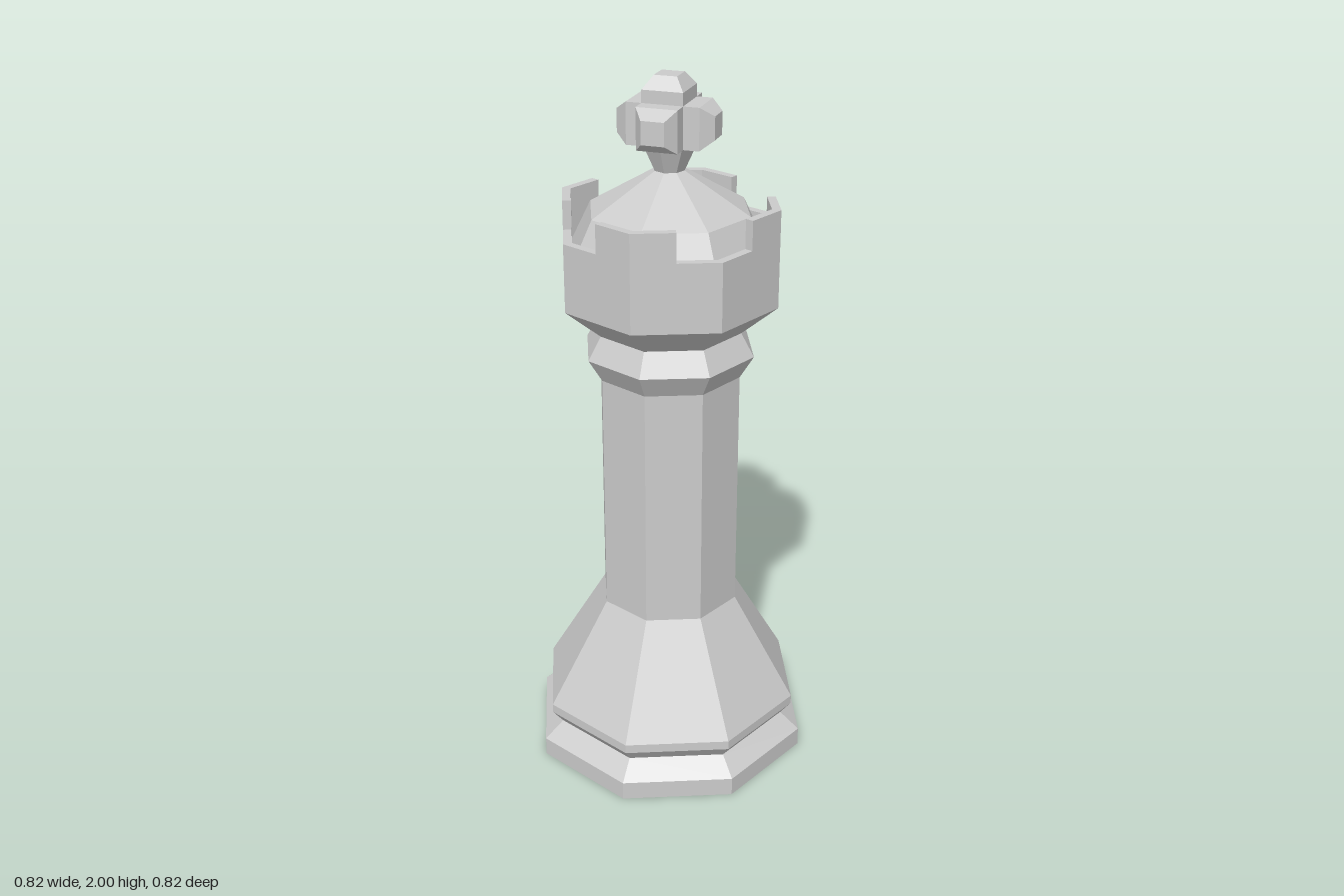
import * as THREE from 'three';

const material = new THREE.MeshStandardMaterial({ color: 0xcccccc, flatShading: true });

function addMesh(parent, name, geometry) {
  const mesh = new THREE.Mesh(geometry, material);
  mesh.name = name;
  parent.add(mesh);
  return mesh;
}

// Eight-sided turned part from [radius, height] pairs, listed from the bottom up
function turned(parent, name, profile) {
  const points = profile.map(([r, y]) => new THREE.Vector2(r, y));
  return addMesh(parent, name, new THREE.LatheGeometry(points, 8));
}

// Square bar along +y with a tapered tip
function crossArm(length) {
  const half = 0.056, tip = 0.031, k = Math.SQRT2;
  const profile = [[0, 0], [half * k, 0], [half * k, length - 0.034], [tip * k, length], [0, length]];
  const points = profile.map(([r, y]) => new THREE.Vector2(r, y));
  return new THREE.LatheGeometry(points, 4, Math.PI / 4);
}

export function createModel() {
  const model = new THREE.Group();
  model.name = 'chessPiece';

  // Stepped foot and flared skirt
  turned(model, 'base', [
    [0, 0], [0.41, 0], [0.41, 0.055], [0.353, 0.103], [0.384, 0.143], [0.384, 0.17], [0.203, 0.48],
  ]);
  turned(model, 'column', [[0.203, 0.48], [0.203, 1.185]]);
  turned(model, 'neckRing', [[0.203, 1.185], [0.242, 1.25], [0.205, 1.315]]);

  // Tower head with a sunken rim around the roof
  turned(model, 'tower', [
    [0.205, 1.315], [0.305, 1.4], [0.305, 1.59], [0.28, 1.59], [0.28, 1.53],
  ]);
  turned(model, 'roof', [[0.28, 1.53], [0.224, 1.643], [0.042, 1.75]]);
  turned(model, 'finialNeck', [[0.042, 1.75], [0.075, 1.822], [0, 1.822]]);

  // Four battlements, each bent round a corner of the octagon
  const outer = 0.305, inner = 0.28;
  const midX = (1 + Math.SQRT1_2) / 2, midZ = Math.SQRT1_2 / 2;
  const plan = new THREE.Shape([
    [outer, 0], [outer * midX, outer * midZ], [inner * midX, inner * midZ],
    [inner, 0], [inner * midX, -inner * midZ], [outer * midX, -outer * midZ],
  ].map(([x, y]) => new THREE.Vector2(x, y)));
  const battlement = new THREE.ExtrudeGeometry(plan, { depth: 0.08, bevelEnabled: false });
  battlement.rotateX(-Math.PI / 2);
  for (let i = 0; i < 4; i++) {
    const mesh = addMesh(model, 'battlement', battlement);
    mesh.position.y = 1.59;
    mesh.rotation.y = i * Math.PI / 2;
  }

  // Finial: a cross with four side arms and an upright
  const finial = new THREE.Group();
  finial.name = 'finialCross';
  finial.position.y = 1.876;
  model.add(finial);
  const upright = addMesh(finial, 'crossTop', crossArm(0.18));
  upright.position.y = -0.056;
  const sideArm = crossArm(0.133).rotateZ(-Math.PI / 2);
  for (let i = 0; i < 4; i++) {
    addMesh(finial, 'crossArm', sideArm).rotation.y = i * Math.PI / 2;
  }

  return model;
}
